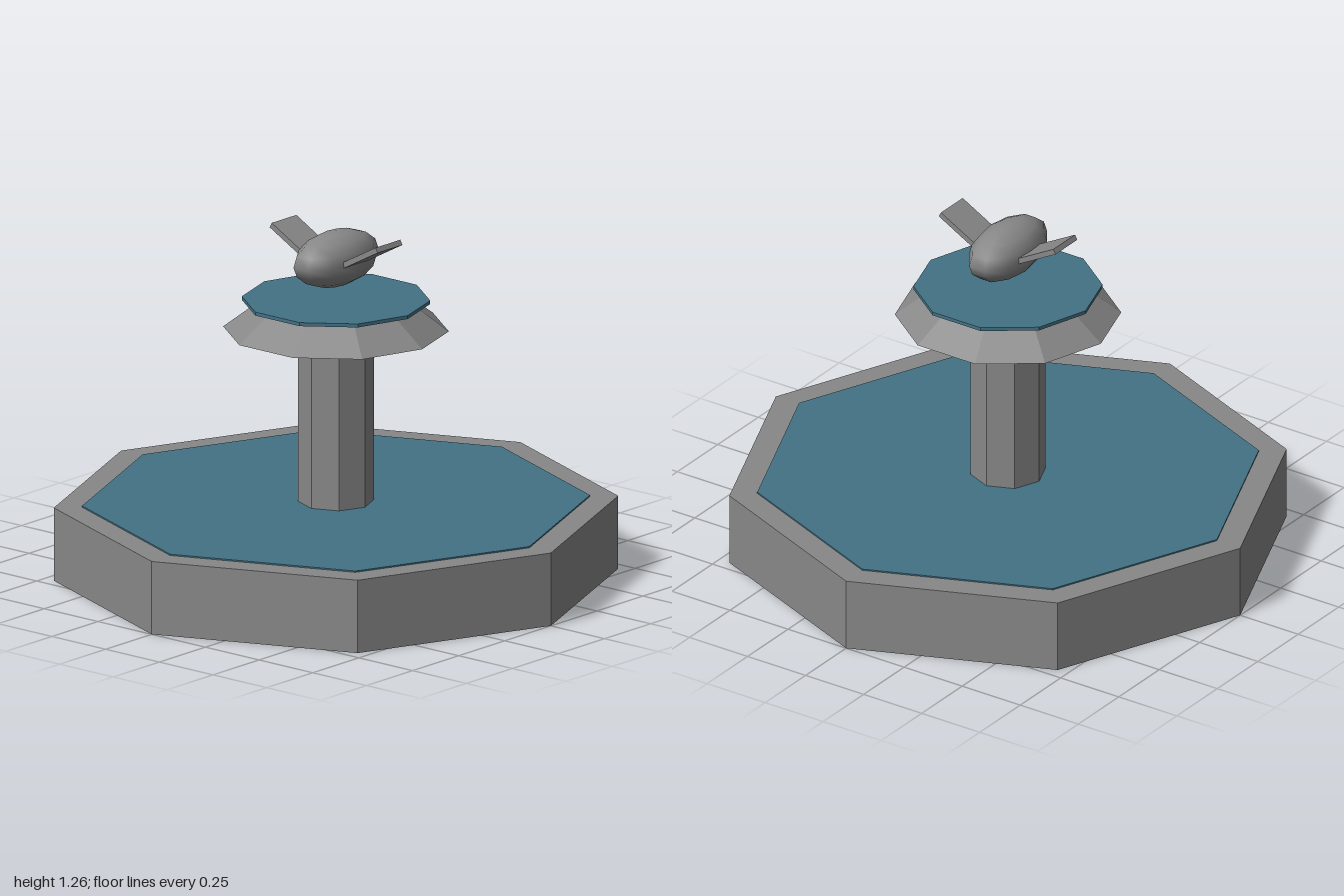
import * as THREE from 'three';

const stone = new THREE.MeshStandardMaterial({ color: 0x888888 });
stone.name = 'stone';
const water = new THREE.MeshStandardMaterial({ color: 0x427285 });
water.name = 'water';

function mesh(name, geometry, material, parent) {
  const m = new THREE.Mesh(geometry, material);
  m.name = name;
  parent.add(m);
  return m;
}

// Faceted prism or frustum between two heights, with a corner on the x axis
function prism(name, rTop, rBottom, y0, y1, sides, material, parent) {
  const geo = new THREE.CylinderGeometry(rTop, rBottom, y1 - y0, sides).toNonIndexed();
  geo.computeVertexNormals();
  geo.rotateY(Math.PI / 2);
  geo.translate(0, (y0 + y1) / 2, 0);
  return mesh(name, geo, material, parent);
}

export function createModel() {
  const fountain = new THREE.Group();
  fountain.name = 'fountain';

  // Basin, column and upper bowl with their water
  prism('basin', 1, 1, 0, 0.268, 8, stone, fountain);
  prism('basinWater', 0.9, 0.9, 0.264, 0.273, 8, water, fountain);
  prism('column', 0.134, 0.134, 0.268, 0.91, 8, stone, fountain);
  prism('upperBowl', 0.267, 0.4, 0.904, 1.004, 10, stone, fountain);
  prism('upperWater', 0.334, 0.334, 1.003, 1.016, 10, water, fountain);

  // Bird hovering above the bowl
  const bird = new THREE.Group();
  bird.name = 'bird';
  bird.position.y = 1.165;
  fountain.add(bird);

  const body = mesh('birdBody', new THREE.SphereGeometry(0.1, 10, 8), stone, bird);
  body.scale.set(1.06, 1, 2.02);

  // Raised wings, mirrored
  for (const side of [-1, 1]) {
    const wing = mesh(side > 0 ? 'leftWing' : 'rightWing',
      new THREE.BoxGeometry(0.2, 0.02, 0.134), stone, bird);
    wing.position.set(side * 0.159, 0.041, 0);
    wing.rotation.z = side * 0.5;
  }
  return fountain;
}
